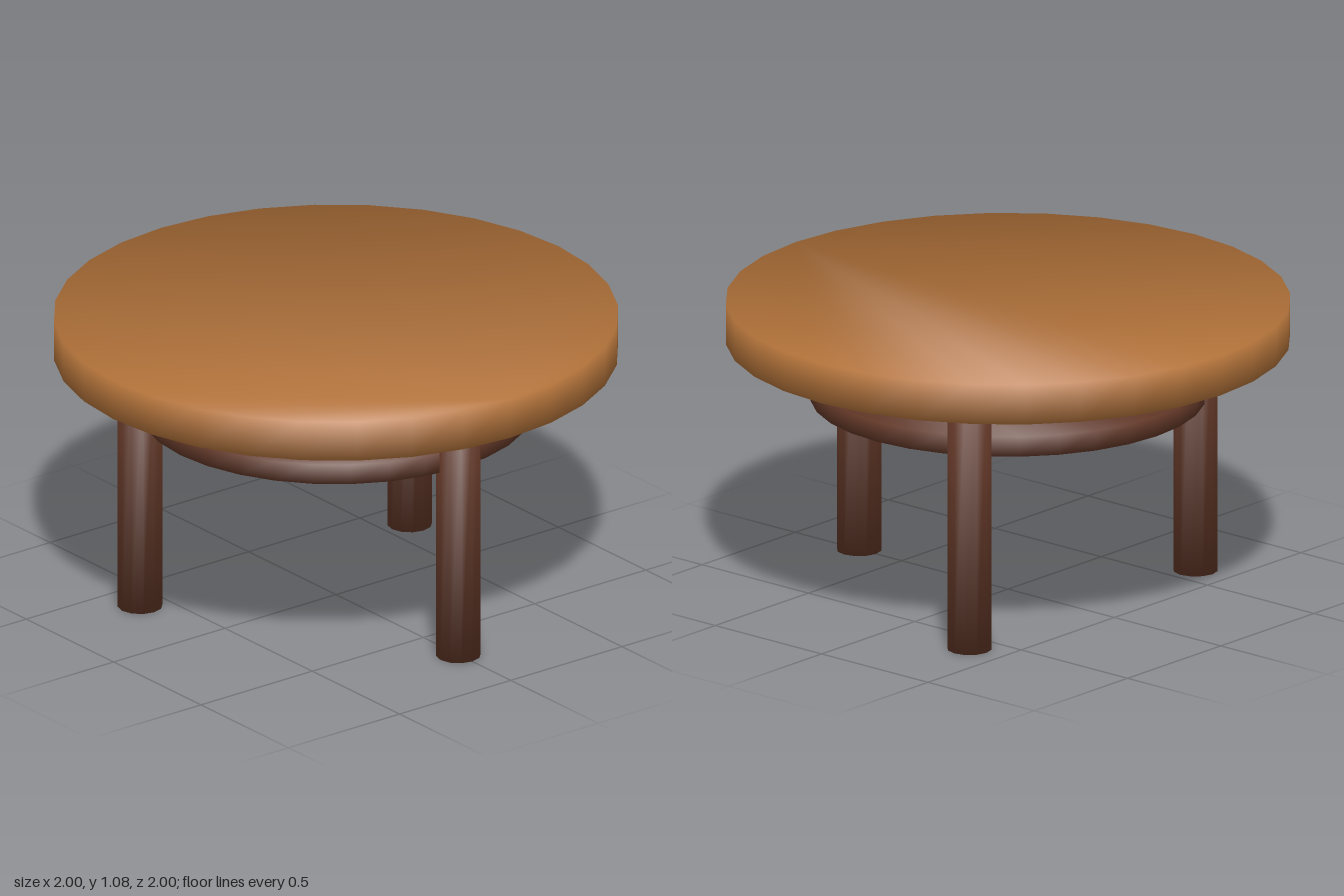
import * as THREE from 'three';

// Upright prism with soft normals that blend the caps into the side
function softDisc(radius, y0, y1, sides) {
  const pos = [], nor = [], idx = [];
  for (const [y, ny] of [[y0, -1], [y1, 1]]) {
    for (let i = 0; i < sides; i++) {
      const a = (i / sides) * Math.PI * 2;
      const c = Math.cos(a), s = Math.sin(a);
      pos.push(c * radius, y, s * radius);
      nor.push(c * Math.SQRT1_2, ny * Math.SQRT1_2, s * Math.SQRT1_2);
    }
  }
  for (let i = 0; i < sides; i++) {
    const j = (i + 1) % sides;
    idx.push(i, i + sides, j, j, i + sides, j + sides); // side
  }
  for (let i = 1; i < sides - 1; i++) {
    idx.push(0, i, i + 1);                              // bottom cap
    idx.push(sides, sides + i + 1, sides + i);          // top cap
  }
  const g = new THREE.BufferGeometry();
  g.setAttribute('position', new THREE.Float32BufferAttribute(pos, 3));
  g.setAttribute('normal', new THREE.Float32BufferAttribute(nor, 3));
  g.setIndex(idx);
  return g;
}

export function createModel() {
  const model = new THREE.Group();
  model.name = 'roundTable';

  const lightWood = new THREE.MeshStandardMaterial({ color: 0xb3733a });
  lightWood.name = 'light wood';
  const darkWood = new THREE.MeshStandardMaterial({ color: 0x603626 });
  darkWood.name = 'dark wood';

  const add = (name, geometry, material) => {
    const mesh = new THREE.Mesh(geometry, material);
    mesh.name = name;
    model.add(mesh);
    return mesh;
  };

  add('tableTop', softDisc(1, 0.93, 1.077, 32), lightWood);
  add('shelf', softDisc(0.7, 0.715, 0.788, 32), darkWood);

  // Three legs evenly spaced around the centre
  const legGeometry = softDisc(0.08, 0, 0.93, 12);
  ['leftLeg', 'frontRightLeg', 'backRightLeg'].forEach((name, i) => {
    const a = (i / 3) * Math.PI * 2;
    add(name, legGeometry, darkWood).position.set(0.7 * Math.cos(a), 0, 0.7 * Math.sin(a));
  });

  return model;
}
